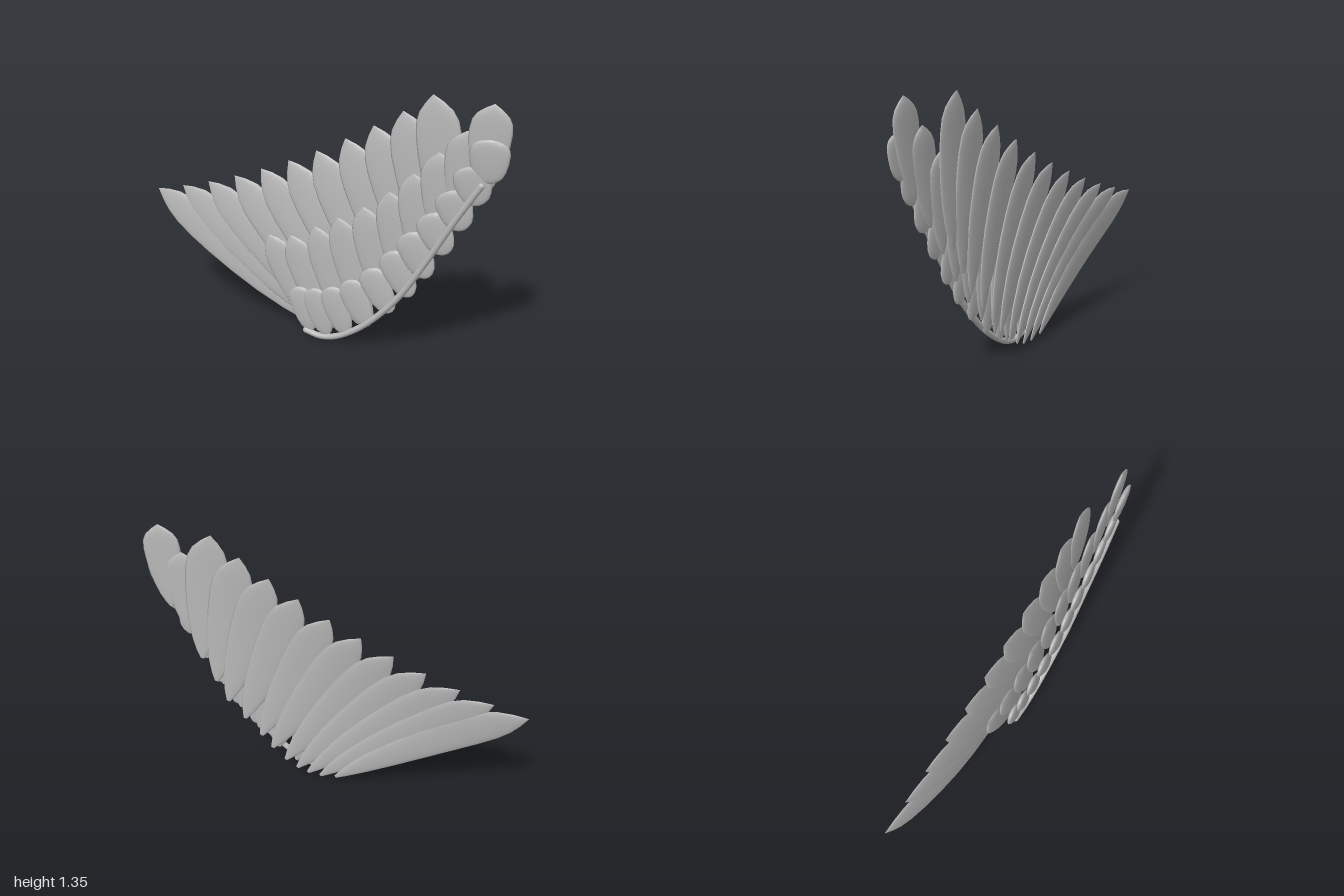
import * as THREE from 'three';

const featherGrey = new THREE.MeshStandardMaterial({ color: 0xb6b6b6 });
featherGrey.name = 'feather grey';

const lerp = THREE.MathUtils.lerp;

// Relative half widths along a feather: [position, width]
const POINTED = [[0, 0.1], [0.06, 0.3], [0.15, 0.52], [0.3, 0.76], [0.45, 0.9], [0.6, 0.98], [0.72, 1],
  [0.82, 0.93], [0.89, 0.74], [0.95, 0.4], [1, 0.01]];
const ROUNDED = [[0, 0.2], [0.05, 0.45], [0.15, 0.7], [0.3, 0.86], [0.5, 0.96], [0.68, 1], [0.8, 0.96],
  [0.89, 0.82], [0.95, 0.6], [0.985, 0.34], [1, 0.02]];

// Pillow-shaped feather lofted from lens-shaped rings between root and tip
function feather({ root, tip, half, thick, bulge, skew, roll, profile }) {
  const SIDES = 16;
  const dir = new THREE.Vector2(tip[0] - root[0], tip[1] - root[1]).normalize();
  const side = new THREE.Vector2(dir.y, -dir.x);
  const pos = [], index = [];
  for (const [t, w] of profile) {
    const cx = lerp(root[0], tip[0], t);
    const cy = lerp(root[1], tip[1], t);
    const cz = lerp(root[2], tip[2], t) + bulge * 4 * t * (1 - t);
    for (let i = 0; i < SIDES; i++) {
      const a = (i / SIDES) * Math.PI * 2;
      const s = half * w * (Math.cos(a) + skew);
      pos.push(cx + side.x * s, cy + side.y * s,
        cz + thick * Math.sqrt(w) * Math.sin(a) - roll * s);
    }
  }
  const rings = profile.length;
  for (let r = 0; r < rings - 1; r++) {
    for (let i = 0; i < SIDES; i++) {
      const j = (i + 1) % SIDES;
      const a = r * SIDES + i, b = a + SIDES, c = r * SIDES + j, d = c + SIDES;
      index.push(a, b, c, c, b, d);
    }
  }
  // Close the root and tip
  const last = (rings - 1) * SIDES;
  for (let i = 1; i < SIDES - 1; i++) {
    index.push(0, i, i + 1, last, last + i + 1, last + i);
  }
  const geo = new THREE.BufferGeometry();
  geo.setAttribute('position', new THREE.Float32BufferAttribute(pos, 3));
  geo.setIndex(index);
  geo.computeVertexNormals();
  return geo;
}

// One layer of feathers; each number pair blends from the first feather to the last
function featherRow(name, o) {
  const row = new THREE.Group();
  row.name = name;
  const n = o.tips.length;
  o.tips.forEach((tip, i) => {
    const k = i / (n - 1);
    const mix = (pair) => lerp(pair[0], pair[1], k);
    const geo = feather({
      root: [...o.roots[i], mix(o.rootZ)],
      tip: [...tip, mix(o.tipZ)],
      half: mix(o.half), thick: o.thick, bulge: mix(o.bulge),
      skew: mix(o.skew), roll: o.roll, profile: o.profile,
    });
    const mesh = new THREE.Mesh(geo, featherGrey);
    mesh.name = name + 'Feather' + (i + 1);
    row.add(mesh);
  });
  return row;
}

export function createModel() {
  const wing = new THREE.Group();
  wing.name = 'wing';

  // Long flight feathers at the back
  wing.add(featherRow('flight', {
    roots: [[-0.035, 0.035], [0.05, 0.025], [0.12, 0.03], [0.18, 0.05], [0.245, 0.09], [0.32, 0.155],
      [0.38, 0.225], [0.47, 0.32], [0.56, 0.415], [0.62, 0.53], [0.69, 0.66]],
    tips: [[-1, 0.635], [-0.83, 0.68], [-0.66, 0.73], [-0.49, 0.79], [-0.325, 0.855], [-0.16, 0.925],
      [0, 1.0], [0.16, 1.085], [0.31, 1.17], [0.46, 1.26], [0.605, 1.355]],
    rootZ: [-0.048, -0.02], tipZ: [-0.1, 0.003], half: [0.095, 0.108], thick: 0.012,
    bulge: [0.035, 0.01], skew: [0.22, 0.1], roll: 0.08, profile: POINTED,
  }));

  // Middle layer
  wing.add(featherRow('middle', {
    roots: [[0, 0.03], [0.09, 0.03], [0.2, 0.06], [0.3, 0.13], [0.41, 0.235], [0.51, 0.35],
      [0.6, 0.48], [0.69, 0.63], [0.77, 0.77], [0.865, 0.91]],
    tips: [[-0.25, 0.525], [-0.12, 0.545], [0.02, 0.62], [0.15, 0.69], [0.285, 0.77], [0.42, 0.87],
      [0.54, 0.98], [0.66, 1.1], [0.79, 1.22], [0.905, 1.355]],
    rootZ: [0, 0.045], tipZ: [0.013, 0.06], half: [0.083, 0.097], thick: 0.013,
    bulge: [0.008, 0.004], skew: [0.12, 0], roll: 0.08, profile: POINTED,
  }));

  // Short rounded feathers along the leading edge
  wing.add(featherRow('covert', {
    roots: [[0.01, 0.035], [0.1, 0.03], [0.21, 0.06], [0.33, 0.135], [0.45, 0.24], [0.55, 0.35],
      [0.635, 0.47], [0.72, 0.61], [0.79, 0.745], [0.855, 0.88], [0.9, 0.995]],
    tips: [[-0.07, 0.275], [0.02, 0.285], [0.12, 0.315], [0.22, 0.375], [0.33, 0.46], [0.44, 0.575],
      [0.53, 0.69], [0.63, 0.805], [0.73, 0.935], [0.82, 1.065], [0.905, 1.2]],
    rootZ: [0.038, 0.08], tipZ: [0.046, 0.09], half: [0.066, 0.092], thick: 0.015,
    bulge: [0.004, 0.002], skew: [0, 0], roll: 0.08, profile: ROUNDED,
  }));

  // Slender bone along the leading edge, with rounded ends
  const R = 0.016;
  const path = new THREE.CatmullRomCurve3([
    [-0.02, 0.033, 0.046], [0.06, 0.018, 0.047], [0.15, 0.036, 0.05], [0.3, 0.13, 0.057],
    [0.48, 0.32, 0.068], [0.64, 0.575, 0.078], [0.76, 0.79, 0.087], [0.875, 0.98, 0.09],
  ].map((p) => new THREE.Vector3(...p)));
  const bone = new THREE.Mesh(new THREE.TubeGeometry(path, 64, R, 12), featherGrey);
  bone.name = 'wingBone';
  wing.add(bone);
  for (const t of [0, 1]) {
    const end = new THREE.Mesh(new THREE.SphereGeometry(R, 12, 8), featherGrey);
    end.name = t ? 'boneTip' : 'boneBase';
    end.position.copy(path.getPoint(t));
    wing.add(end);
  }
  return wing;
}
